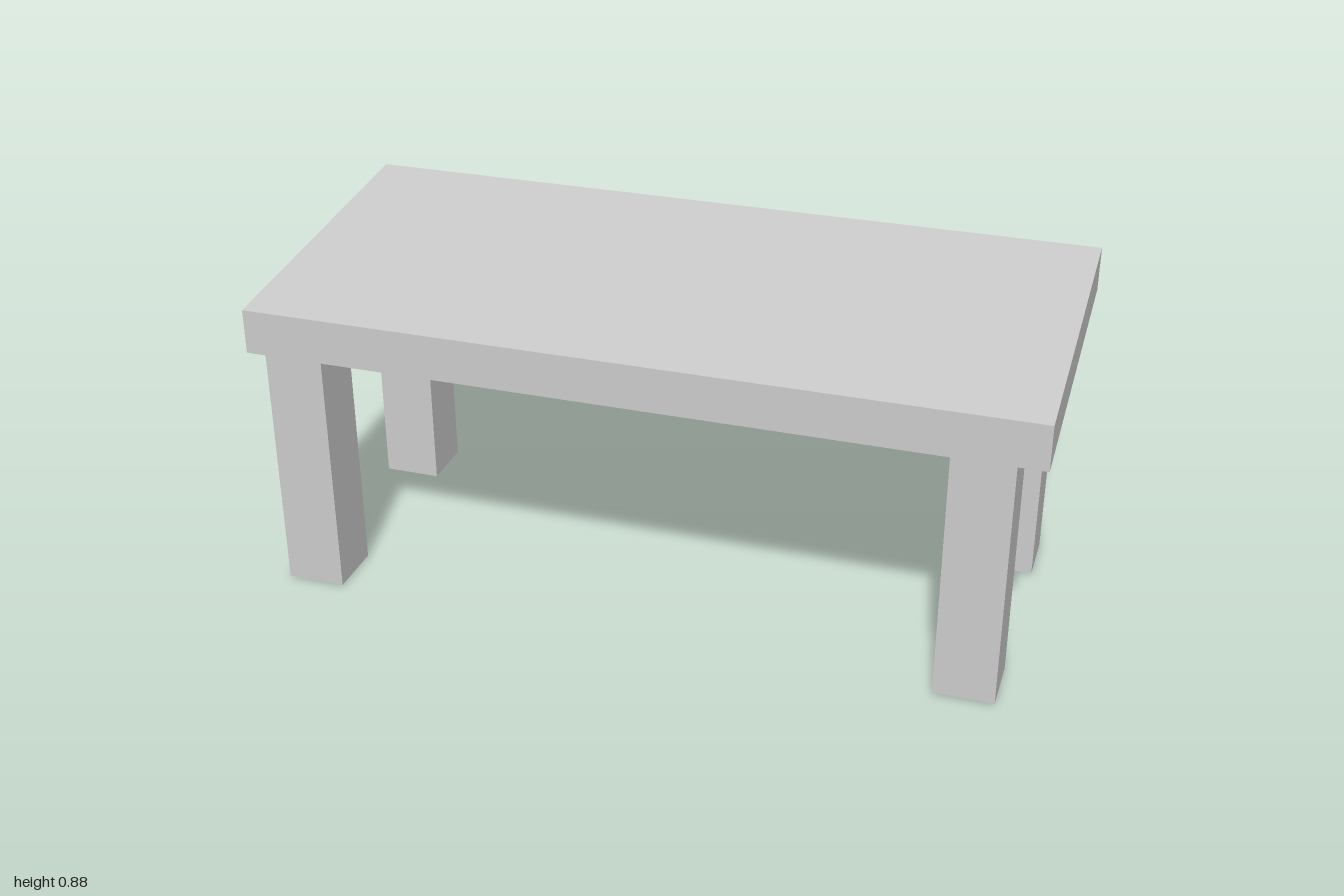
import * as THREE from 'three';

const material = new THREE.MeshStandardMaterial({ color: 0xcccccc, flatShading: true });

// Height of the sloping underside of the top at depth z
const underside = (z) => 0.7235 - 0.0958 * z;

// Extrudes a [z, y] side profile along x, centred on the given x
function sideExtrusion(name, profile, width, x) {
  const shape = new THREE.Shape(profile.map(([z, y]) => new THREE.Vector2(z, y)));
  const geometry = new THREE.ExtrudeGeometry(shape, { depth: width, bevelEnabled: false });
  geometry.translate(0, 0, -width / 2).rotateY(-Math.PI / 2).translate(x, 0, 0);
  const mesh = new THREE.Mesh(geometry, material);
  mesh.name = name;
  return mesh;
}

export function createModel() {
  const table = new THREE.Group();
  table.name = 'slopedTable';

  // Tilted top with vertical edges
  const half = 0.422;
  const thickness = 0.117;
  table.add(sideExtrusion('tableTop', [
    [-half, underside(-half)],
    [half, underside(half)],
    [half, underside(half) + thickness],
    [-half, underside(-half) + thickness],
  ], 2, 0));

  // Four square legs, cut to meet the slope
  const legSize = 0.154;
  const rows = [
    { name: 'front', z: 0.309, foot: 0.004 },
    { name: 'back', z: -0.306, foot: 0 },
  ];
  const columns = [
    { name: 'Right', x: -0.893 },
    { name: 'Left', x: 0.848 },
  ];
  for (const row of rows) {
    const z0 = row.z - legSize / 2;
    const z1 = row.z + legSize / 2;
    for (const column of columns) {
      table.add(sideExtrusion(`${row.name}${column.name}Leg`, [
        [z0, row.foot],
        [z1, row.foot],
        [z1, underside(z1) + 0.005],
        [z0, underside(z0) + 0.005],
      ], legSize, column.x));
    }
  }
  return table;
}
